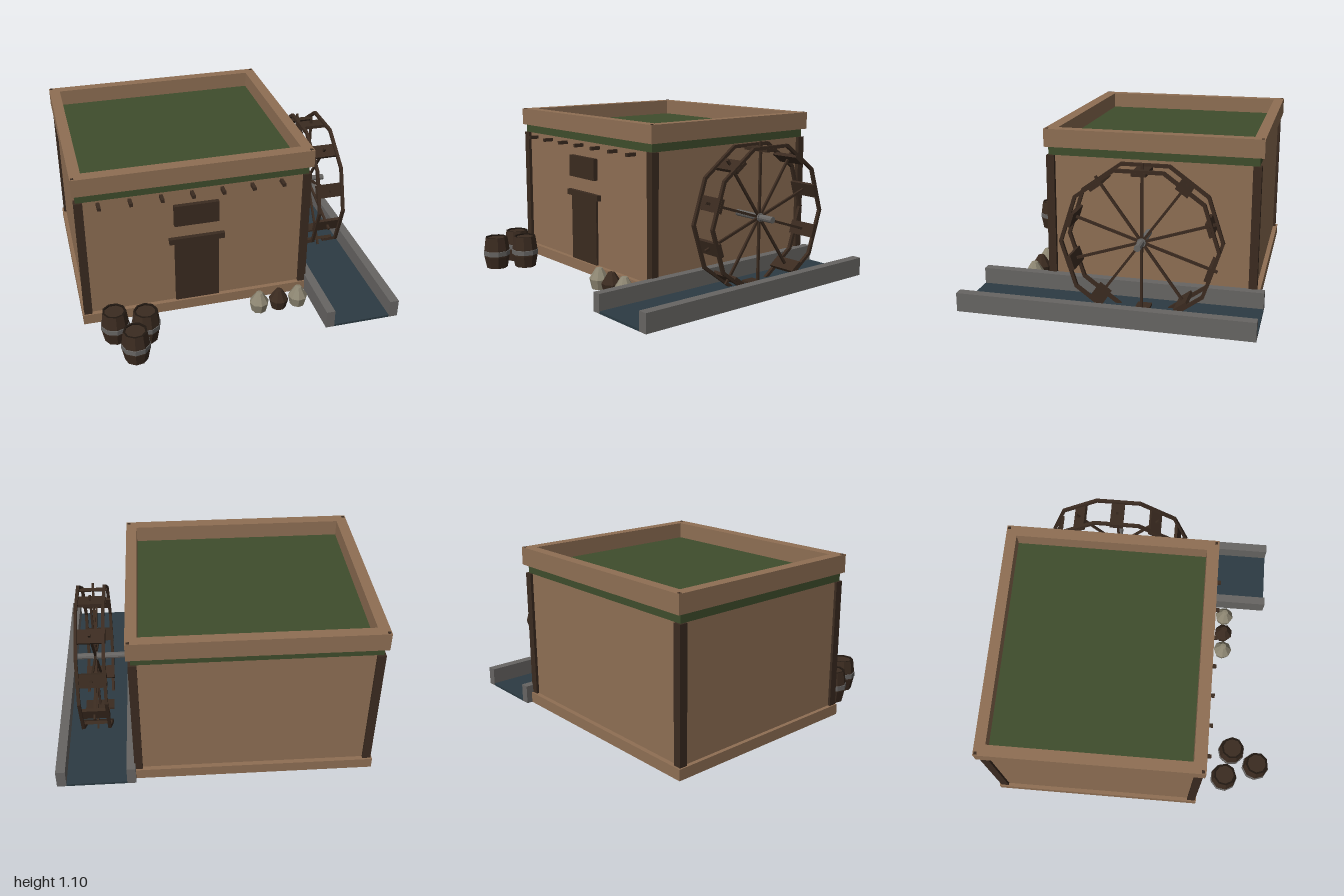
import * as THREE from 'three';

const mat = (name, color) => {
  const m = new THREE.MeshStandardMaterial({ color });
  m.name = name;
  m.flatShading = true;
  return m;
};

export function createModel() {
  const clay = mat('clay', 0x8f6f54);
  const wood = mat('darkWood', 0x3b2b20);
  const rimWood = mat('blackWood', 0x211811);
  const green = mat('roofGreen', 0x3f4d2c);
  const stone = mat('stoneGrey', 0x676563);
  const water = mat('water', 0x2c3b43);
  const cloth = mat('sackCloth', 0x8d8672);

  const model = new THREE.Group();
  model.name = 'watermill';

  const add = (parent, name, geo, material) => {
    const mesh = new THREE.Mesh(geo, material);
    mesh.name = name;
    parent.add(mesh);
    return mesh;
  };
  // Box given by its minimum and maximum on each axis
  const box = (parent, name, material, x0, x1, y0, y1, z0, z1) => {
    const mesh = add(parent, name, new THREE.BoxGeometry(x1 - x0, y1 - y0, z1 - z0), material);
    mesh.position.set((x0 + x1) / 2, (y0 + y1) / 2, (z0 + z1) / 2);
    return mesh;
  };
  const group = (name, parent = model) => {
    const g = new THREE.Group();
    g.name = name;
    parent.add(g);
    return g;
  };

  // House body
  const house = group('house');
  box(house, 'base', clay, -1, 0.503, 0.03, 0.1, -0.915, 0.46);
  box(house, 'walls', clay, -0.975, 0.485, 0.1, 0.93, -0.885, 0.43);
  box(house, 'roofSlab', green, -0.98, 0.495, 0.93, 0.995, -0.89, 0.44);
  for (const x of [-0.965, 0.485]) {
    for (const z of [-0.877, 0.425]) {
      box(house, 'cornerPost', wood, x - 0.026, x + 0.026, 0.1, 0.93, z - 0.026, z + 0.026);
    }
  }

  // Parapet ring around the roof
  const rect = (P, x0, x1, y0, y1) => {
    const p = new P();
    p.moveTo(x0, y0);
    p.lineTo(x1, y0);
    p.lineTo(x1, y1);
    p.lineTo(x0, y1);
    p.closePath();
    return p;
  };
  const ring = rect(THREE.Shape, -1, 0.52, -0.462, 0.918);
  ring.holes.push(rect(THREE.Path, -0.93, 0.45, -0.385, 0.85));
  const ringGeo = new THREE.ExtrudeGeometry(ring, { depth: 0.115, bevelEnabled: false });
  ringGeo.rotateX(-Math.PI / 2).translate(0, 0.985, 0);
  add(house, 'parapet', ringGeo, clay);
  for (const x of [-0.985, 0.502]) {
    for (const z of [-0.903, 0.443]) {
      box(house, 'parapetPeg', wood, x - 0.009, x + 0.009, 1.095, 1.102, z - 0.009, z + 0.009);
    }
  }

  // Door, window and beam ends on the front
  box(house, 'door', wood, -0.385, -0.095, 0.1, 0.55, 0.42, 0.445);
  box(house, 'lintel', wood, -0.42, -0.058, 0.547, 0.585, 0.42, 0.46);
  box(house, 'windowShutter', wood, -0.385, -0.095, 0.68, 0.825, 0.42, 0.46);
  for (let i = 0; i < 7; i++) {
    const x = -0.847 + i * 0.1937;
    box(house, 'beamEnd', wood, x - 0.011, x + 0.011, 0.89, 0.912, 0.42, 0.497);
  }

  // Water channel
  const channel = group('channel');
  box(channel, 'innerWall', stone, 0.503, 0.56, 0.03, 0.15, -0.953, 0.883);
  box(channel, 'outerWall', stone, 0.94, 1, 0.03, 0.15, -0.953, 0.883);
  box(channel, 'water', water, 0.56, 0.94, 0.03, 0.045, -0.953, 0.883);

  // Water wheel: two ten-sided rims, spokes to the middle of each side, paddles
  const wheel = group('waterWheel');
  wheel.position.set(0.752, 0.487, -0.227);
  const sides = 10;
  const outer = 0.49;
  const inner = 0.468;
  const rimShape = new THREE.Shape();
  const rimHole = new THREE.Path();
  const corners = (r) => Array.from({ length: sides }, (_, i) => {
    const a = (i * 2 * Math.PI) / sides;
    return new THREE.Vector2(Math.cos(a) * r, Math.sin(a) * r);
  });
  rimShape.setFromPoints(corners(outer));
  rimHole.setFromPoints(corners(inner));
  rimShape.holes.push(rimHole);
  const rimGeo = new THREE.ExtrudeGeometry(rimShape, { depth: 0.02, bevelEnabled: false });
  rimGeo.translate(0, 0, -0.01).rotateY(Math.PI / 2);
  for (const s of [-1, 1]) add(wheel, 'wheelRim', rimGeo, wood).position.x = s * 0.085;
  for (let i = 0; i < sides; i++) {
    const arm = group('spokeArm', wheel);
    arm.rotation.x = (i * 2 * Math.PI) / sides;
    box(arm, 'spoke', wood, -0.007, 0.007, 0, 0.485, -0.008, 0.008);
    box(arm, 'paddle', wood, -0.097, 0.097, 0.428, 0.45, -0.045, 0.045);
  }
  const axleGeo = new THREE.CylinderGeometry(0.021, 0.021, 0.314, 10);
  axleGeo.rotateZ(Math.PI / 2);
  add(wheel, 'axle', axleGeo, stone).position.x = -0.038;
  const hubGeo = new THREE.CylinderGeometry(0.028, 0.028, 0.03, 10);
  hubGeo.rotateZ(Math.PI / 2);
  add(wheel, 'hub', hubGeo, stone);

  // Lathe from pairs of radius and height
  const lathe = (pairs, n) =>
    new THREE.LatheGeometry(pairs.map(([r, y]) => new THREE.Vector2(r, y)), n);

  // Barrels
  const staveGeo = lathe([[0, 0], [0.072, 0], [0.088, 0.08], [0.088, 0.13], [0.076, 0.215]], 9);
  const lipGeo = lathe([[0.076, 0.215], [0.063, 0.215], [0.063, 0.205]], 9);
  const lidGeo = lathe([[0.065, 0.207], [0, 0.207]], 9);
  const bandGeo = lathe([[0.086, 0.088], [0.092, 0.09], [0.092, 0.122], [0.086, 0.124]], 9);
  for (const [x, z, turn] of [[-0.82, 0.64, 0], [-0.63, 0.685, 0.25], [-0.725, 0.857, 0.5]]) {
    const barrel = group('barrel');
    barrel.position.set(x, 0.03, z);
    barrel.rotation.y = turn;
    add(barrel, 'staves', staveGeo, wood);
    add(barrel, 'barrelLip', lipGeo, rimWood);
    add(barrel, 'lid', lidGeo, wood);
    add(barrel, 'hoop', bandGeo, stone);
  }

  // Sacks
  const sackGeo = lathe([[0, 0], [0.05, 0], [0.065, 0.065], [0.022, 0.135], [0, 0.138]], 8);
  [[0.142, cloth], [0.276, wood], [0.41, cloth]].forEach(([x, m], i) => {
    const sack = add(model, 'sack', sackGeo, m);
    sack.position.set(x, 0.03, 0.59);
    sack.rotation.y = i * 0.3;
  });

  return model;
}
